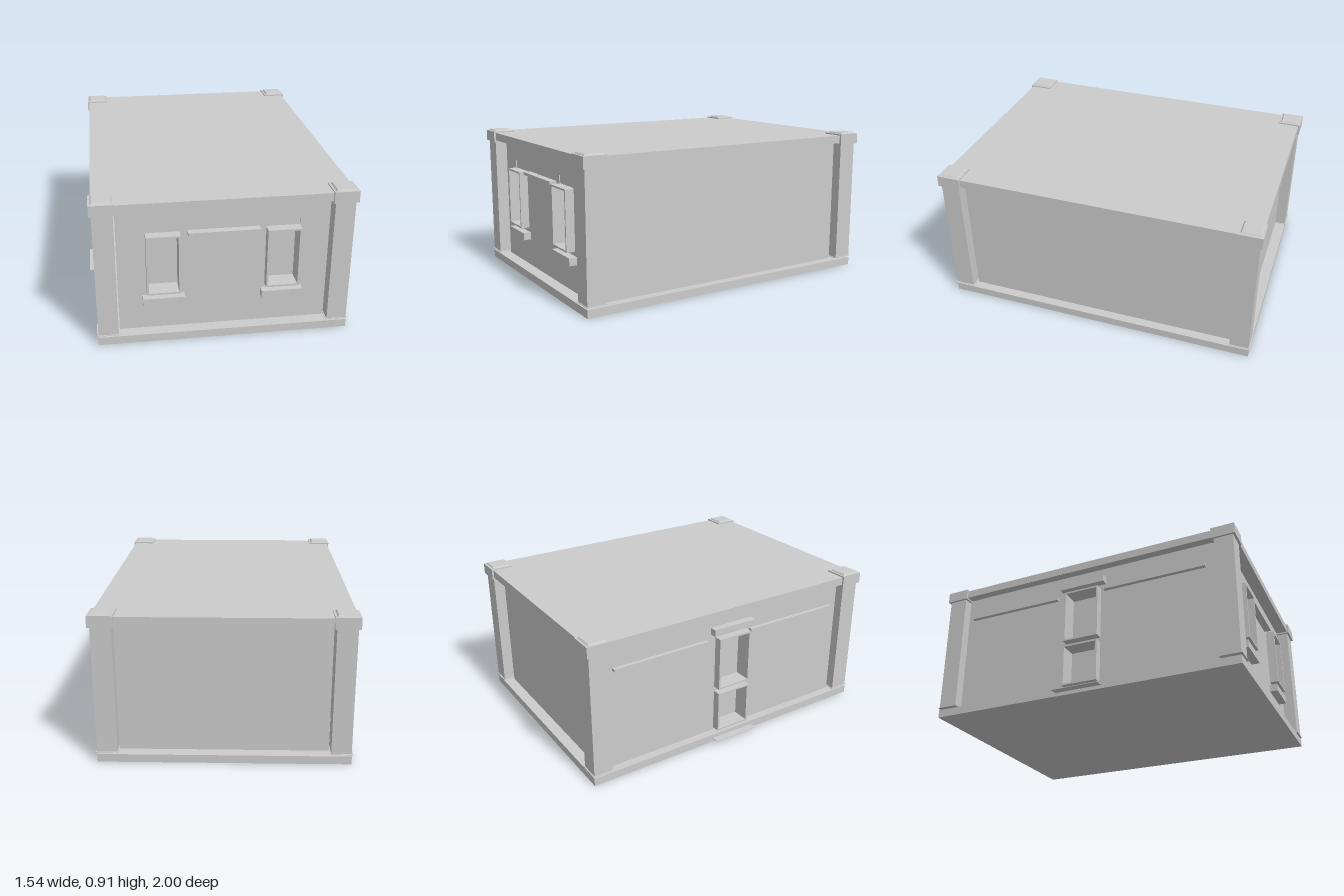
import * as THREE from 'three';

export function createModel() {
  const model = new THREE.Group();
  const material = new THREE.MeshStandardMaterial({ color: 0xcccccc, flatShading: true });

  // Box given by its low and high limits on each axis
  function box(name, x0, x1, y0, y1, z0, z1, parent = model) {
    const mesh = new THREE.Mesh(new THREE.BoxGeometry(x1 - x0, y1 - y0, z1 - z0), material);
    mesh.position.set((x0 + x1) / 2, (y0 + y1) / 2, (z0 + z1) / 2);
    mesh.name = name;
    parent.add(mesh);
  }

  // Rectangle corners, and an upright panel from z0 to z1 with rectangular holes
  const rectangle = (x0, x1, y0, y1) => [
    new THREE.Vector2(x0, y0), new THREE.Vector2(x1, y0),
    new THREE.Vector2(x1, y1), new THREE.Vector2(x0, y1)];
  function panel(name, outline, holes, z0, z1, parent) {
    const shape = new THREE.Shape(rectangle(...outline));
    for (const hole of holes) shape.holes.push(new THREE.Path(rectangle(...hole).reverse()));
    const mesh = new THREE.Mesh(
      new THREE.ExtrudeGeometry(shape, { depth: z1 - z0, bevelEnabled: false }), material);
    mesh.position.z = z0;
    mesh.name = name;
    parent.add(mesh);
  }

  // Deep hollow frame with a pane at its back
  function opening(name, x0, x1, y0, y1, z0, z1, parent) {
    const rim = 0.011;
    const inner = [x0 + rim, x1 - rim, y0 + rim, y1 - rim];
    panel(name + 'Frame', [x0, x1, y0, y1], [inner], z0, z1, parent);
    box(name + 'Pane', ...inner, z0, z0 + 0.004, parent);
  }

  // Floor and roof slabs
  box('baseSlab', -0.722, 0.757, 0, 0.05, -0.988, 0.988);
  box('roofSlab', -0.722, 0.757, 0.84, 0.89, -0.988, 0.988);

  // Plain walls, set between the posts
  box('backWall', -0.595, 0.635, 0.05, 0.84, -0.918, -0.913);
  box('leftWall', 0.695, 0.7, 0.05, 0.84, -0.86, 0.86);

  // Corner posts with foot plates and stepped caps
  for (const x of [-0.661, 0.697]) {
    for (const z of [-0.9275, 0.9275]) {
      const corner = new THREE.Group();
      corner.name = 'cornerPost';
      corner.position.set(x, 0, z);
      box('post', -0.059, 0.059, 0.062, 0.83, -0.059, 0.059, corner);
      box('footPlate', -0.066, 0.066, 0.062, 0.065, -0.066, 0.066, corner);
      box('cap', -0.0725, 0.0725, 0.83, 0.898, -0.0725, 0.0725, corner);
      const plate = new THREE.Mesh(
        new THREE.CylinderGeometry(0.075, 0.085, 0.009, 4), material);
      plate.name = 'capPlate';
      plate.position.y = 0.9025;
      plate.rotation.y = Math.PI / 4;
      corner.add(plate);
      model.add(corner);
    }
  }

  // Front wall with two windows, each with a recessed head and a sill
  const front = new THREE.Group();
  front.name = 'front';
  front.position.z = 0.913;
  const centres = [-0.332, 0.362];
  panel('frontWall', [-0.595, 0.635, 0.05, 0.84],
    centres.map((x) => [x - 0.098, x + 0.098, 0.3, 0.72]), -0.005, 0, front);
  for (const x of centres) {
    opening('window', x - 0.098, x + 0.098, 0.3, 0.67, -0.06, 0.055, front);
    box('windowHead', x - 0.098, x + 0.098, 0.67, 0.72, -0.016, -0.006, front);
    box('windowSill', x - 0.122, x + 0.122, 0.225, 0.272, 0, 0.05, front);
  }
  box('frontRail', -0.19, 0.225, 0.66, 0.678, 0, 0.045, front);
  model.add(front);

  // Right wall with its doorway, built facing +z and turned to face -x
  const right = new THREE.Group();
  right.name = 'right';
  right.position.x = -0.67;
  right.rotation.y = -Math.PI / 2;
  const upper = [-0.115, 0.115, 0.36, 0.7], lower = [-0.115, 0.115, 0.065, 0.33];
  panel('rightWall', [-0.86, 0.86, 0.05, 0.84], [upper, lower], -0.005, 0, right);
  opening('doorUpper', ...upper, -0.06, 0.05, right);
  opening('doorLower', ...lower, -0.06, 0.05, right);
  box('doorLintel', -0.15, 0.15, 0.727, 0.77, 0, 0.045, right);
  box('doorStep', -0.15, 0.15, 0.022, 0.025, 0.05, 0.1, right);
  box('sideRail', -0.82, -0.18, 0.68, 0.697, 0, 0.025, right);
  box('sideRail', 0.14, 0.8, 0.68, 0.697, 0, 0.025, right);
  model.add(right);

  return model;
}
